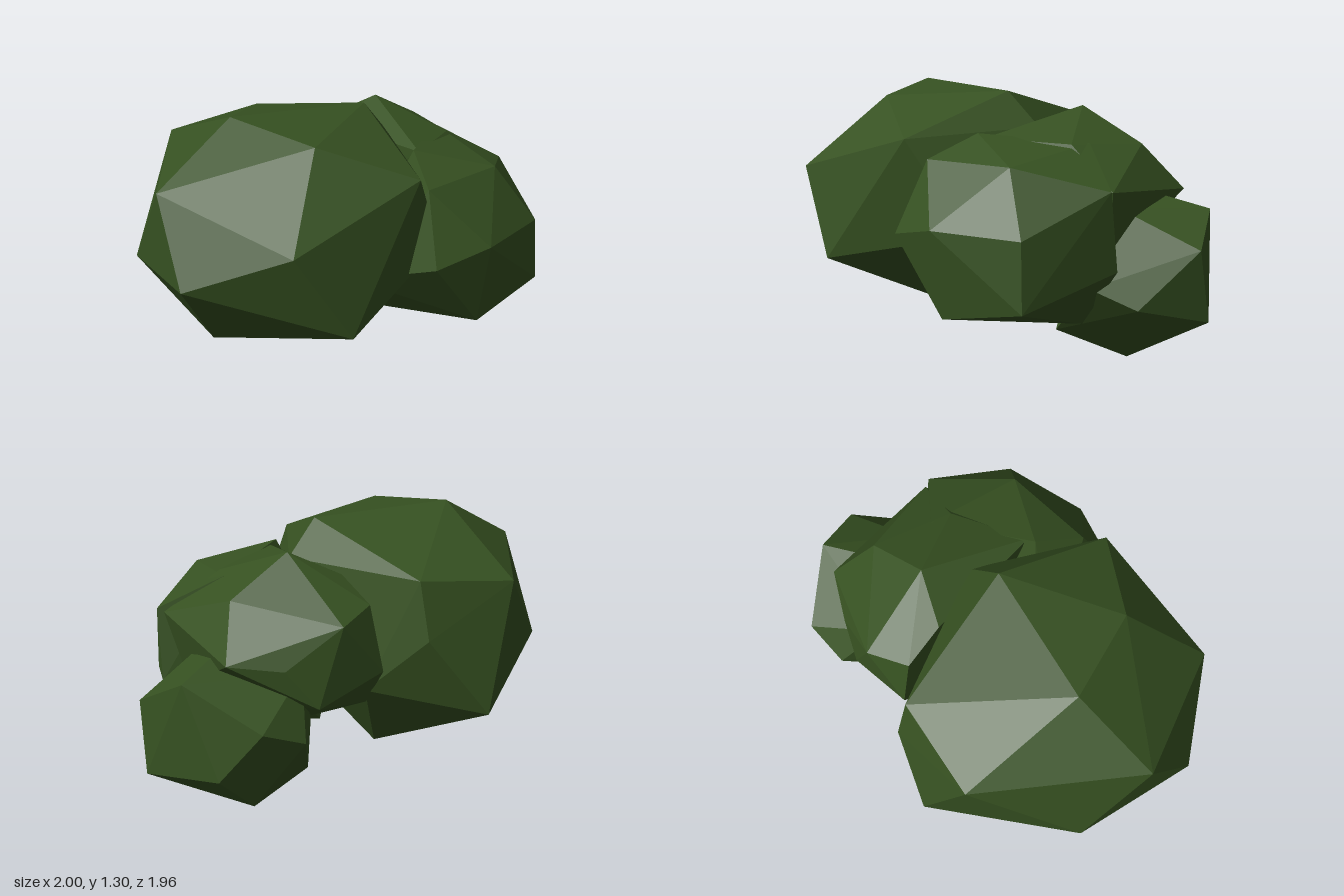
import * as THREE from 'three';
import { ConvexGeometry } from 'three/addons/geometries/ConvexGeometry.js';

// Corner points of each faceted leaf clump
const clumps = {
  largeClump: [
    [-0.23, 0.88, 0.98], [0.03, 0.45, 0.9], [-0.73, 0.67, 0.86], [-1, 0.6, 0.3],
    [-0.52, 1.3, 0.3], [0.12, 1.27, 0], [0.35, 1.07, 0.55], [-0.13, 1.24, 0.57],
    [-0.84, 1.05, 0.62], [-0.86, 1.06, -0.24], [-0.43, 1.12, -0.48], [-0.48, 0.85, -0.54],
    [-0.77, 0.46, -0.46], [-0.65, 0.12, 0.27], [-0.2, 0.13, -0.13], [0, 0.15, 0.2],
    [-0.18, 0.55, -0.45], [0.23, 1.1, -0.13], [0.48, 0.62, 0.27],
  ],
  sideClump: [
    [0.43, 0.64, 0.61], [0.7, 0.7, 0.49], [0.66, 0.28, 0.43], [1, 0.37, 0.14],
    [0.98, 0.69, 0.14], [0.76, 0.98, 0.14], [0.4, 0.98, 0.45], [0.35, 1.09, 0.2],
    [0.52, 1.05, -0.3], [0.86, 0.87, -0.3], [0.84, 0.5, -0.34], [0.7, 0.23, -0.22],
    [0.1, 0.17, 0], [0.05, 0.45, 0.3], [0.3, 0.6, -0.3], [0.1, 0.6, 0.2],
  ],
  upperBackClump: [
    [0.2, 1.2, -0.36], [0.43, 1.03, -0.59], [0.41, 0.8, -0.82], [0.15, 0.77, -0.78],
    [-0.1, 0.95, -0.66], [-0.2, 0.99, -0.46], [-0.05, 1.08, -0.3], [0.56, 1.05, -0.2],
    [0.82, 0.86, -0.32], [0.38, 1.07, 0.17], [0, 0.58, -0.75], [0.7, 0.5, -0.35],
    [-0.27, 0.68, -0.51], [-0.18, 0.47, -0.4], [0.12, 0.26, -0.15],
  ],
  lowerBackClump: [
    [0.53, 0, -0.5], [0.1, 0.12, -0.45], [0.81, 0.23, -0.8], [0.84, 0.58, -0.74],
    [0.9, 0.33, -0.42], [0.22, 0.55, -0.98], [0.43, 0.29, -0.96], [0.3, 0.1, -0.82],
    [0.6, 0.73, -0.88], [0.5, 0.79, -0.67], [0.6, 0.75, -0.42], [0.05, 0.45, -0.84],
    [0.1, 0.7, -0.6], [0.5, 0.15, -0.15], [0.8, 0.42, -0.22], [0.1, 0.33, -0.34],
  ],
};

export function createModel() {
  const bush = new THREE.Group();
  bush.name = 'bush';
  const leafGreen = new THREE.MeshStandardMaterial({ color: 0x365121 });
  leafGreen.name = 'leafGreen';

  // Overlapping faceted clumps
  for (const [name, points] of Object.entries(clumps)) {
    const geometry = new ConvexGeometry(points.map((p) => new THREE.Vector3(...p)));
    const mesh = new THREE.Mesh(geometry, leafGreen);
    mesh.name = name;
    bush.add(mesh);
  }
  return bush;
}
